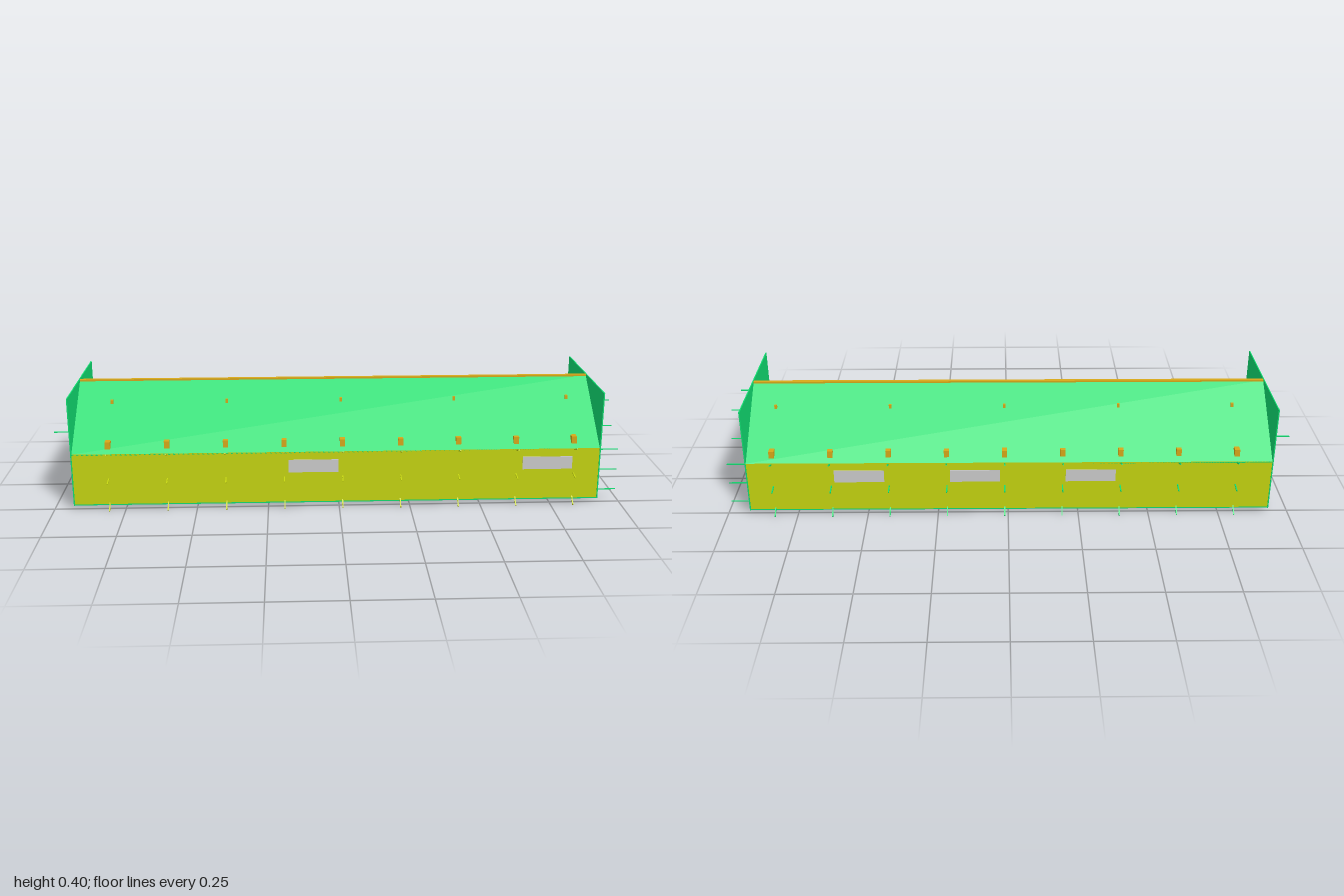
import * as THREE from 'three';

const mat = (color) => new THREE.MeshStandardMaterial({ color });

export function createModel() {
  const model = new THREE.Group();
  const green = mat(0x10dc70), yellow = mat(0xc4d410), amber = mat(0xd8a818);
  const red = mat(0xa04848), grey = mat(0xcccccc);
  const x0 = -0.93, x1 = 0.92, midX = (x0 + x1) / 2, length = x1 - x0;
  const halfW = 0.255, base = 0.016, eave = 0.205, ridge = 0.402;

  const box = (name, material, size, pos) => {
    const mesh = new THREE.Mesh(new THREE.BoxGeometry(...size), material);
    mesh.name = name;
    mesh.position.set(...pos);
    model.add(mesh);
    return mesh;
  };

  // Thin stake running from one point to another
  const stake = (name, material, from, to, thick = 0.004) => {
    const a = new THREE.Vector3(...from), b = new THREE.Vector3(...to);
    const mesh = box(name, material, [thick, thick, a.distanceTo(b)], a.clone().add(b).multiplyScalar(0.5).toArray());
    mesh.lookAt(b);
  };

  // Floor, side walls and tall rectangular end panels
  box('floor', green, [length, 0.004, halfW * 2], [midX, base + 0.002, 0]);
  for (const s of [-1, 1]) {
    box('sideWall', yellow, [length, eave - base, 0.004], [midX, (base + eave) / 2, s * (halfW - 0.002)]);
  }
  for (const x of [x0, x1]) {
    box('endPanel', green, [0.004, 0.39, 0.514], [x, base + 0.195, 0]);
  }

  // Pitched roof: a thin folded sheet along x
  const sheet = new THREE.Shape([
    [-halfW, eave], [-halfW, eave - 0.005], [0, ridge - 0.005],
    [halfW, eave - 0.005], [halfW, eave], [0, ridge],
  ].map(([z, y]) => new THREE.Vector2(z, y)));
  const roofGeo = new THREE.ExtrudeGeometry(sheet, { depth: length, bevelEnabled: false });
  roofGeo.rotateY(Math.PI / 2);
  const roof = new THREE.Mesh(roofGeo, green);
  roof.name = 'roof';
  roof.position.x = x0;
  model.add(roof);
  box('ridgePole', amber, [length, 0.006, 0.014], [midX, ridge, 0]);

  // Windows along both walls
  for (const x of [-0.09, 0.735]) box('frontWindow', grey, [0.176, 0.046, 0.003], [x, 0.153, halfW + 0.001]);
  for (const x of [0.525, 0.117, -0.291]) box('backWindow', grey, [0.176, 0.046, 0.003], [x, 0.153, -halfW - 0.001]);

  // Door and window in the right end
  box('endDoor', red, [0.003, 0.118, 0.35], [x0 - 0.003, base + 0.06, 0]);
  box('endWindow', grey, [0.003, 0.088, 0.315], [x0 - 0.003, 0.234, 0]);

  // Rows of stakes and eave vents on both long sides
  const slope = (ridge - eave) / halfW;
  for (let i = 0; i < 9; i++) {
    const x = -0.805 + i * 0.2043;
    for (const s of [-1, 1]) {
      const m = s > 0 ? yellow : green;
      stake('lowerStake', m, [x, 0.025, s * 0.254], [x, 0.003, s * 0.281]);
      stake('middleStake', m, [x, 0.113, s * 0.254], [x, 0.107, s * 0.292]);
      stake('upperStake', m, [x, 0.2, s * 0.254], [x, 0.214, s * 0.29]);
      const deep = i % 4 === 0 ? 0.027 : 0.018;
      box('eaveVent', amber, [0.018, 0.026, deep], [x, 0.231, s * 0.229]);
      if (i % 2 === 0) {
        box('roofPin', amber, [0.009, 0.014, 0.009], [x, ridge - slope * 0.083 + 0.005, s * 0.083]);
      }
    }
  }

  // Stakes on the end panels
  for (const s of [-1, 1]) {
    for (const y of [0.045, 0.12, 0.195]) {
      stake('endStake', green, [x1, y, s * 0.24], [0.988, y, s * 0.24], 0.003);
    }
    stake('endStake', green, [x1, 0.33, s * 0.083], [0.988, 0.33, s * 0.083], 0.003);
    stake('endStake', green, [x1, 0.26, s * 0.17], [0.978, 0.26, s * 0.17], 0.003);
    stake('endStake', green, [x0, 0.26, s * 0.17], [-1, 0.26, s * 0.17], 0.003);
  }
  return model;
}
